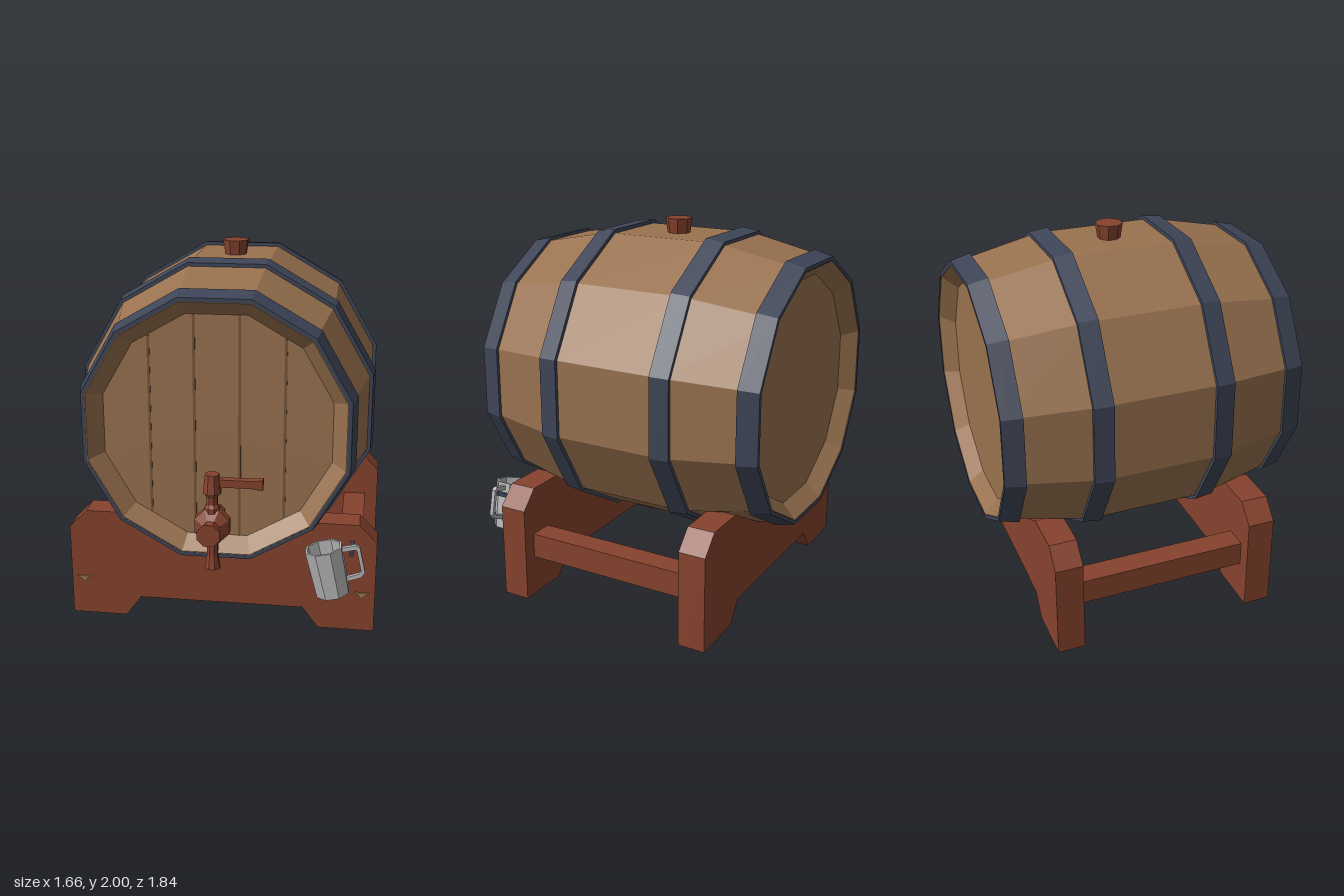
import * as THREE from 'three';

const mat = (name, color, side = THREE.FrontSide) => {
  const m = new THREE.MeshStandardMaterial({ color, side });
  m.name = name;
  return m;
};

// Flat facets through unshared vertices
function faceted(geo) {
  const g = geo.index ? geo.toNonIndexed() : geo;
  g.computeVertexNormals();
  return g;
}

// Faceted turned solid; radii are measured to the middle of each flat side
function turned(points, sides) {
  const k = 1 / Math.cos(Math.PI / sides);
  const pts = points.map(([r, h]) => new THREE.Vector2(r * k, h));
  return faceted(new THREE.LatheGeometry(pts, sides, Math.PI / sides));
}
const turnedZ = (points, sides) => turned(points, sides).rotateX(Math.PI / 2);

const shapeOf = pts => new THREE.Shape(pts.map(([x, y]) => new THREE.Vector2(x, y)));
const slab = (shape, depth) =>
  faceted(new THREE.ExtrudeGeometry(shape, { depth, bevelEnabled: false }));

export function createModel() {
  const model = new THREE.Group();
  model.name = 'caskOnStand';

  const oak = mat('oak', 0x99724f);
  const groove = mat('grooveBrown', 0x73543a);
  const iron = mat('darkIron', 0x3e4557);
  const redWood = mat('redWood', 0x86432e);
  const pewter = mat('pewter', 0xb6b6b6);
  const brass = mat('brass', 0xa08350);

  const add = (parent, name, geo, material, x = 0, y = 0, z = 0) => {
    const mesh = new THREE.Mesh(geo, material);
    mesh.name = name;
    mesh.position.set(x, y, z);
    parent.add(mesh);
    return mesh;
  };

  // Barrel, lying along z
  const barrel = new THREE.Group();
  barrel.name = 'barrel';
  barrel.position.y = 1.157;
  model.add(barrel);

  add(barrel, 'staves', turnedZ([
    [0.585, -0.84], [0.657, -0.917], [0.667, -0.917], [0.765, -0.44],
    [0.765, 0.205], [0.667, 0.687], [0.657, 0.687], [0.585, 0.61],
  ], 12), oak);
  add(barrel, 'backHead', turnedZ([[0, -0.84], [0.585, -0.84]], 12), oak);
  add(barrel, 'frontHead', turnedZ([[0.585, 0.61], [0, 0.61]], 12), oak);

  // Seams between the head planks
  for (const [x, half] of [[-0.345, 0.47], [-0.115, 0.585], [0.115, 0.585], [0.345, 0.47]]) {
    add(barrel, 'plankSeam', new THREE.BoxGeometry(0.013, half * 2, 0.006), groove, x, 0, 0.611);
  }

  // Hoops: [back z, front z, back radius, front radius]
  for (const [z0, z1, r0, r1] of [
    [0.585, 0.69, 0.705, 0.68], [0.155, 0.257, 0.785, 0.773],
    [-0.49, -0.388, 0.773, 0.785], [-0.92, -0.815, 0.68, 0.705],
  ]) {
    const t = 0.02;
    add(barrel, 'hoop', turnedZ([
      [r0 - t, z0], [r0, z0], [r1, z1], [r1 - t, z1], [r0 - t, z0],
    ], 12), iron);
  }

  // Bung
  add(model, 'bung', turned([[0, 1.88], [0.05, 1.88], [0.067, 2], [0, 2]], 8), redWood, 0, 0, -0.118);

  // Stand: two cradle boards joined by two rails
  const stand = new THREE.Group();
  stand.name = 'stand';
  model.add(stand);
  const half = [[0.19, 0.45], [0.5, 0.615], [0.735, 0.615], [0.83, 0.515], [0.83, 0], [0.53, 0], [0.445, 0.115]];
  const outline = [...half, ...half.map(([x, y]) => [-x, y]).reverse()];
  const board = slab(shapeOf(outline.reverse()), 0.147);
  add(stand, 'frontBoard', board, redWood, 0, 0, 0.353);
  add(stand, 'backBoard', board, redWood, 0, 0, -0.728);
  for (const s of [-1, 1]) {
    add(stand, 'rail', new THREE.BoxGeometry(0.13, 0.135, 0.96), redWood, s * 0.69, 0.288, -0.115);
  }

  // Three-pointed brass studs on the front board
  const stud = slab(shapeOf([
    [-0.04, 0.012], [-0.01, -0.008], [0, -0.028], [0.01, -0.008], [0.04, 0.012], [0, 0.008],
  ]), 0.01);
  for (const s of [-1, 1]) add(stand, 'stud', stud, brass, s * 0.76, 0.216, 0.5);

  // Tap
  const tap = new THREE.Group();
  tap.name = 'tap';
  model.add(tap);
  add(tap, 'tapBody', turnedZ([
    [0.04, 0.6], [0.04, 0.72], [0.088, 0.755], [0.088, 0.803],
    [0.042, 0.838], [0.057, 0.92], [0, 0.92],
  ], 8), redWood, 0, 0.7, 0);
  add(tap, 'spout', turned([
    [0, 0.465], [0.038, 0.465], [0.027, 0.54], [0.03, 0.66],
  ], 8), redWood, 0, 0, 0.78);
  add(tap, 'valve', turned([
    [0.036, 0.74], [0.036, 0.8], [0.027, 0.815], [0.027, 0.85], [0.036, 0.872],
    [0.045, 0.875], [0.034, 0.975], [0, 0.975],
  ], 8), redWood, 0, 0, 0.78);
  add(tap, 'tapHandle', slab(shapeOf([
    [0.02, 0.91], [0.19, 0.91], [0.255, 0.902], [0.255, 0.956], [0.19, 0.95], [0.02, 0.95],
  ]), 0.04), redWood, 0, 0, 0.755);

  // Mug hanging from a peg on the front board
  add(model, 'mugPeg', new THREE.BoxGeometry(0.02, 0.02, 0.15), iron, 0.7, 0.515, 0.57);
  const mug = new THREE.Group();
  mug.name = 'mug';
  mug.position.set(0.583, 0.41, 0.625);
  mug.rotation.z = 0.22;
  model.add(mug);
  add(mug, 'mugCup', turned([
    [0, -0.13], [0.084, -0.13], [0.094, 0.13], [0.083, 0.13], [0.074, -0.115], [0, -0.115],
  ], 8), pewter);
  const grip = shapeOf([
    [0.08, -0.075], [0.16, -0.065], [0.185, -0.04], [0.185, 0.1], [0.17, 0.118], [0.08, 0.115],
  ]);
  grip.holes.push(new THREE.Path([
    [0.08, -0.052], [0.08, 0.092], [0.158, 0.094], [0.163, 0.088], [0.163, -0.032], [0.15, -0.043],
  ].map(([x, y]) => new THREE.Vector2(x + 0.004, y))));
  add(mug, 'mugHandle', slab(grip, 0.022), pewter, 0, 0, -0.011);

  return model;
}
